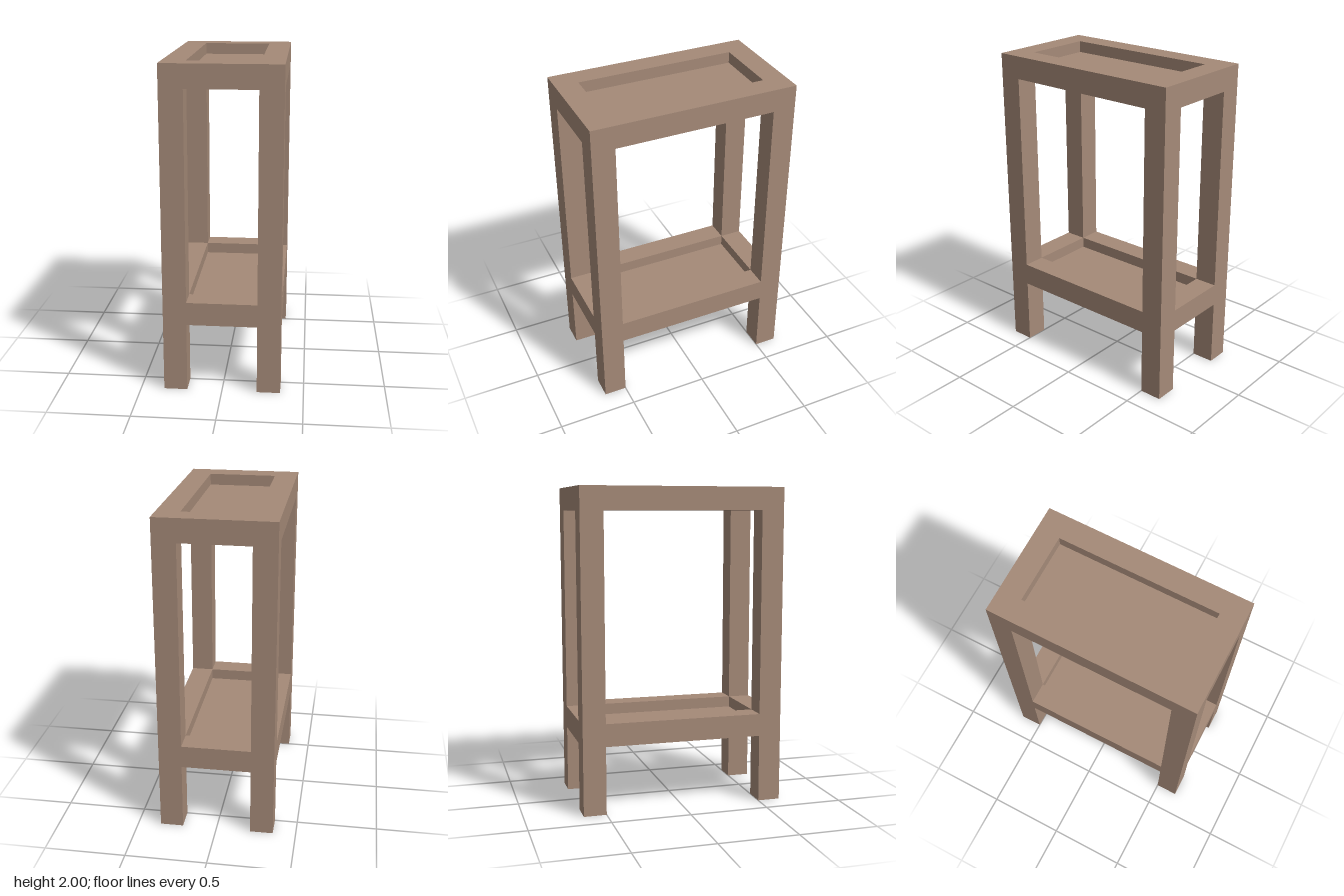
import * as THREE from 'three';

// One square beam is one unit; the stand is 5 x 14 x 9 units.
const U = 2 / 14;

export function createModel() {
  const group = new THREE.Group();
  group.name = 'stand';
  const wood = new THREE.MeshStandardMaterial({ color: 0xa58a78 });
  wood.name = 'wood';

  // Box given by its size and centre, in beam units
  function box(parent, name, size, centre) {
    const mesh = new THREE.Mesh(new THREE.BoxGeometry(...size.map((v) => v * U)), wood);
    mesh.position.set(...centre.map((v) => v * U));
    mesh.name = name;
    parent.add(mesh);
  }

  // Four full-height legs
  for (const x of [-2, 2]) {
    for (const z of [-4, 4]) {
      box(group, (z > 0 ? 'front' : 'back') + (x > 0 ? 'Left' : 'Right') + 'Leg', [1, 14, 1], [x, 7, z]);
    }
  }

  // Lower shelf and top: rails between the legs around a sunken panel
  for (const [name, y] of [['shelf', 3], ['top', 13]]) {
    const tray = new THREE.Group();
    tray.name = name;
    group.add(tray);
    for (const s of [-1, 1]) {
      box(tray, s > 0 ? 'frontRail' : 'backRail', [3, 1, 1], [0, y + 0.5, 4 * s]);
      box(tray, s > 0 ? 'leftRail' : 'rightRail', [1, 1, 7], [2 * s, y + 0.5, 0]);
    }
    box(tray, 'panel', [3, 0.5, 7], [0, y + 0.25, 0]);
  }
  return group;
}
